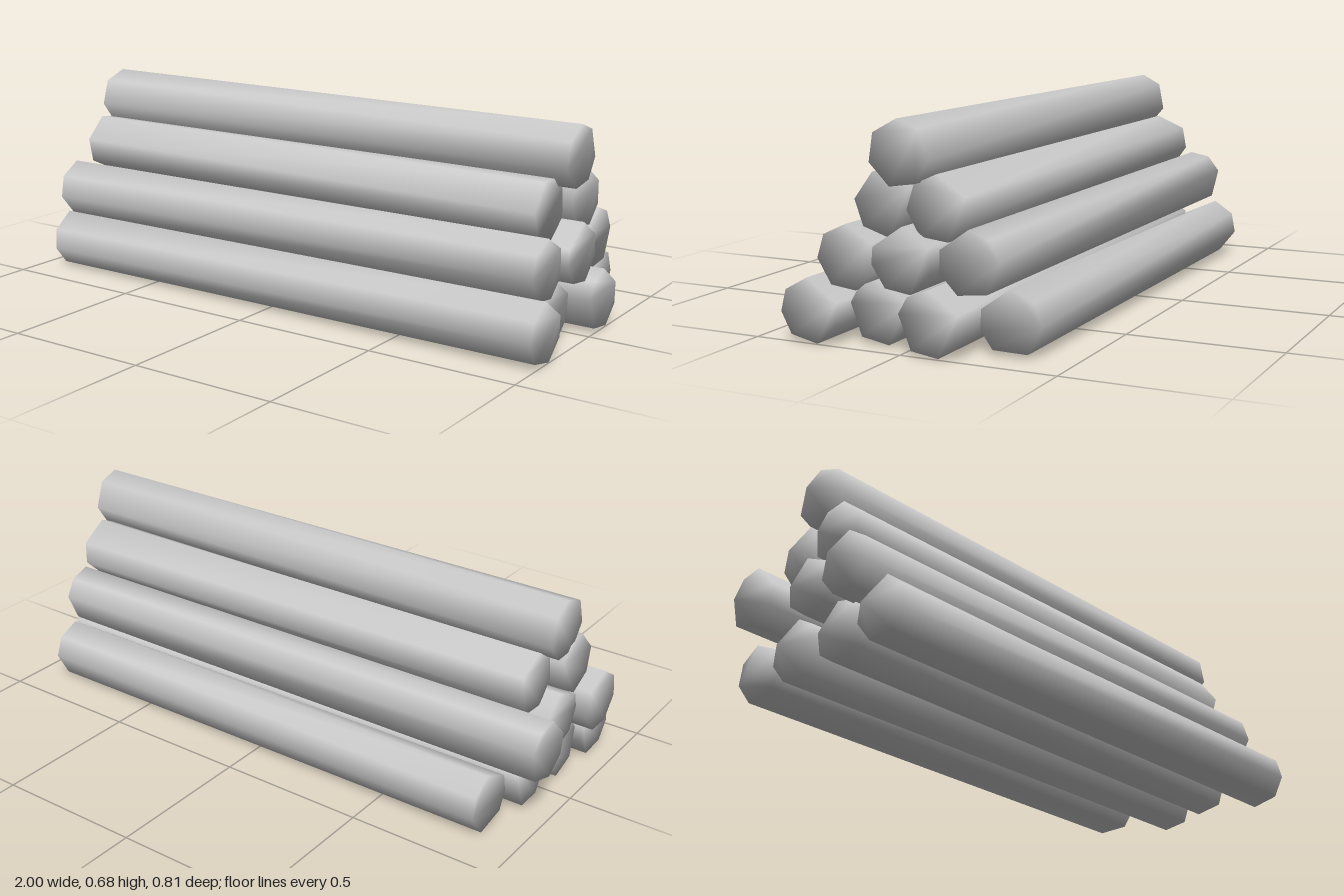
import * as THREE from 'three';

const RADIUS = 0.101;
const SIDES = 7;

// Each log: [centre y, centre z, left x, right x, twist, corner angles in degrees]
const LOGS = [
  // bottom row
  [0.10, 0.31, -0.92, 1.00, 10, [18, 93, 145, 186, 230, 285, 338]],
  [0.10, 0.11, -0.90, 0.93, -8, [20, 90, 133, 168, 232, 288, 334]],
  [0.10, -0.095, -0.90, 1.00, 8, [20, 90, 133, 167, 235, 288, 338]],
  [0.10, -0.302, -0.87, 0.89, -10, [0, 42, 90, 160, 197, 235, 303]],
  // second row
  [0.26, 0.21, -0.98, 0.95, 8, [30, 90, 140, 185, 238, 288, 336]],
  [0.27, 0.01, -0.94, 0.97, -10, [26, 88, 160, 190, 237, 287, 344]],
  [0.27, -0.19, -1.00, 0.93, 10, [8, 48, 90, 160, 200, 248, 305]],
  // third row
  [0.42, 0.108, -0.93, 0.90, -8, [30, 68, 112, 175, 225, 280, 335]],
  [0.423, -0.088, -0.89, 0.93, 10, [23, 90, 138, 185, 236, 291, 338]],
  // top
  [0.58, 0.022, -0.93, 0.96, -8, [48, 92, 145, 197, 253, 304, 350]],
];

// A rough, slightly twisted prism along x whose corners share smooth normals
function logGeometry(y, z, left, right, twist, angles) {
  const points = [];
  const index = [];
  for (const [x, turn] of [[right, 0], [left, twist]]) {
    for (const angle of angles) {
      const a = THREE.MathUtils.degToRad(angle + turn);
      points.push(x, y + RADIUS * Math.sin(a), z - RADIUS * Math.cos(a));
    }
  }
  // bark
  for (let i = 0; i < SIDES; i++) {
    const j = (i + 1) % SIDES;
    index.push(i, i + SIDES, j + SIDES, i, j + SIDES, j);
  }
  // sawn ends
  for (let i = 1; i < SIDES - 1; i++) {
    index.push(0, i, i + 1, SIDES, SIDES + i + 1, SIDES + i);
  }
  const geometry = new THREE.BufferGeometry();
  geometry.setAttribute('position', new THREE.Float32BufferAttribute(points, 3));
  geometry.setIndex(index);
  geometry.computeVertexNormals();
  return geometry;
}

export function createModel() {
  const group = new THREE.Group();
  group.name = 'logPile';
  const material = new THREE.MeshStandardMaterial({ color: 0xcccccc });
  LOGS.forEach((log, i) => {
    const mesh = new THREE.Mesh(logGeometry(...log), material);
    mesh.name = `log${i + 1}`;
    group.add(mesh);
  });
  return group;
}
